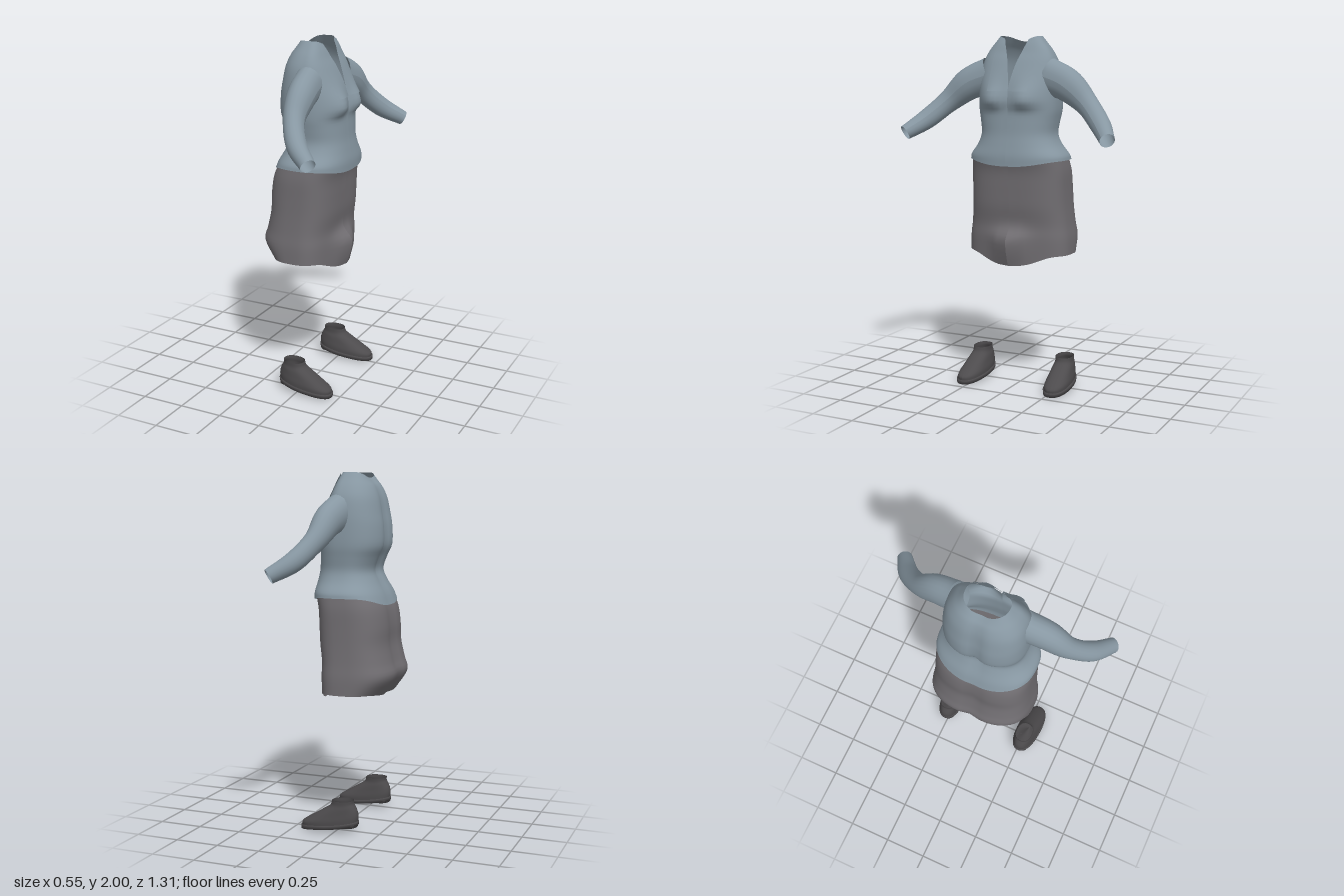
import * as THREE from 'three';

const mat = (name, color) => {
  const m = new THREE.MeshStandardMaterial({ color, side: THREE.DoubleSide });
  m.name = name;
  return m;
};

// Lofts stacked rings, each [yFront, ySide, yBack, xFront, xBack, halfWidth, xCentre, frontGap].
// p squares off the outline, k shapes the hem, bump adds to x, from/to limit the sweep.
function loft(rings, { n = 64, sub = 4, p = 0.8, k = 4, bump = () => 0, from = 0, to = 1 } = {}) {
  const smooth = new THREE.CubicInterpolant(rings.map((_, i) => i), rings.flat(), 8);
  const rows = (rings.length - 1) * sub;
  const pos = [], index = [];
  for (let i = 0; i <= rows; i++) {
    const [yf, ys, yb, xf, xb, w, cx, gap] = Array.from(smooth.evaluate(i / sub));
    const g = Math.asin(Math.min(1, Math.pow(Math.max(0, gap) / w, 1 / p)));
    for (let j = 0; j <= n; j++) {
      const t = from + (to - from) * j / n;
      const a = g + (2 * Math.PI - 2 * g) * t;
      const c = Math.cos(a), s = Math.sin(a), ac = Math.abs(c);
      const y = ys + ((c > 0 ? yf : yb) - ys) * Math.pow(ac, k);
      const z = w * Math.sign(s) * Math.pow(Math.abs(s), p);
      const x = cx + ((c > 0 ? xf : xb) - cx) * Math.pow(ac, p);
      pos.push(x + bump(y, z, c) * Math.min(1, ac * 2), y, z);
      if (i < rows && j < n) {
        const q = i * (n + 1) + j, u = q + n + 1;
        index.push(q, u, q + 1, u, u + 1, q + 1);
      }
    }
  }
  const geo = new THREE.BufferGeometry();
  geo.setAttribute('position', new THREE.Float32BufferAttribute(pos, 3));
  geo.setIndex(index);
  geo.computeVertexNormals();
  return geo;
}

const bell = (v, s) => Math.exp(-(v * v) / (s * s));

// Bust at the front, spine hollow at the back
const torsoBump = (y, z, c) => c > 0
  ? 0.045 * bell(y - 1.64, y > 1.64 ? 0.1 : 0.035) * bell(Math.abs(z) - 0.1, 0.08)
  : 0.022 * bell(z, 0.04) * bell(y - 1.65, 0.3);

// Pointed centre fold at the front, shallow hollow at the back
const skirtBump = (y, z, c) => c > 0
  ? 0.065 * bell(y - 0.86, y > 0.86 ? 0.06 : 0.18) * bell(z, 0.1)
  : 0.015 * bell(z, 0.05);

const blouseRings = [
  [1.285, 1.315, 1.265, 0.195, -0.222, 0.288, 0, 0],
  [1.34, 1.345, 1.33, 0.195, -0.2, 0.28, 0, 0],
  [1.40, 1.40, 1.40, 0.185, -0.165, 0.24, 0, 0],
  [1.46, 1.46, 1.46, 0.175, -0.145, 0.218, 0, 0],
  [1.53, 1.53, 1.53, 0.17, -0.168, 0.225, 0, 0],
  [1.60, 1.60, 1.60, 0.165, -0.2, 0.235, 0, 0],
  [1.70, 1.70, 1.70, 0.155, -0.2, 0.235, 0, 0],
  [1.78, 1.78, 1.78, 0.135, -0.187, 0.23, 0, 0.012],
  [1.86, 1.86, 1.86, 0.105, -0.17, 0.215, 0, 0.03],
  [1.91, 1.92, 1.92, 0.08, -0.145, 0.185, 0, 0.048],
  [1.945, 1.965, 1.95, 0.065, -0.12, 0.15, -0.005, 0.062],
  [1.97, 2.0, 1.97, 0.05, -0.1, 0.122, -0.01, 0.075],
];

const skirtRings = [
  [0.72, 0.78, 0.76, 0.13, -0.21, 0.308, -0.03, 0],
  [0.87, 0.87, 0.87, 0.135, -0.28, 0.305, -0.03, 0],
  [0.95, 0.95, 0.95, 0.135, -0.262, 0.295, -0.03, 0],
  [1.05, 1.05, 1.05, 0.15, -0.24, 0.287, -0.03, 0],
  [1.15, 1.15, 1.15, 0.155, -0.238, 0.283, -0.02, 0],
  [1.25, 1.25, 1.25, 0.16, -0.222, 0.28, -0.01, 0],
  [1.33, 1.33, 1.33, 0.18, -0.185, 0.268, 0, 0],
];

const shoeRings = [
  [0.02, 0.035, 0.055, 0.203, -0.122, 0.068, 0.05, 0],
  [0.045, 0.062, 0.09, 0.2, -0.127, 0.068, 0.045, 0],
  [0.078, 0.095, 0.12, 0.15, -0.122, 0.062, 0.015, 0],
  [0.12, 0.13, 0.145, 0.08, -0.11, 0.056, -0.02, 0],
  [0.15, 0.155, 0.165, 0.035, -0.1, 0.05, -0.035, 0],
  [0.178, 0.18, 0.182, 0.025, -0.1, 0.05, -0.037, 0],
];

const soleRings = [
  [0.015, 0.018, 0.045, 0.052, 0.048, 0.001, 0.05, 0],
  [0.0, 0.018, 0.045, 0.209, -0.128, 0.074, 0.05, 0],
  [0.022, 0.037, 0.065, 0.21, -0.13, 0.075, 0.05, 0],
  [0.024, 0.04, 0.066, 0.195, -0.118, 0.065, 0.05, 0],
];

const heelRings = [
  [0.028, 0.03, 0.033, -0.065, -0.067, 0.001, -0.066, 0],
  [0.028, 0.03, 0.033, -0.01, -0.122, 0.052, -0.066, 0],
  [0.035, 0.045, 0.055, -0.008, -0.124, 0.054, -0.066, 0],
];

// Tapered sleeve swept along the arm, open at the wrist
function sleeveGeometry(s) {
  const curve = new THREE.CatmullRomCurve3([
    [0.02, 1.78, 0.18], [0.035, 1.735, 0.3], [0.055, 1.64, 0.42], [0.13, 1.53, 0.535], [0.237, 1.455, 0.618],
  ].map(([x, y, z]) => new THREE.Vector3(x, y, z * s)));
  const steps = 28, sides = 20;
  const radius = new THREE.CubicInterpolant([0, 0.25, 0.5, 0.75, 1], [0.105, 0.09, 0.064, 0.057, 0.042], 1);
  const geo = new THREE.TubeGeometry(curve, steps, 1, sides);
  const pos = geo.attributes.position, v = new THREE.Vector3();
  for (let i = 0; i <= steps; i++) {
    const t = i / steps, c = curve.getPointAt(t), r = radius.evaluate(t)[0];
    for (let j = 0; j <= sides; j++) {
      const q = i * (sides + 1) + j;
      v.fromBufferAttribute(pos, q).sub(c).multiplyScalar(r);
      v.x *= 0.75 + 0.25 * t;
      v.add(c);
      pos.setXYZ(q, v.x, v.y, v.z);
    }
  }
  geo.computeVertexNormals();
  return geo;
}

export function createModel() {
  const model = new THREE.Group();
  model.name = 'outfit';
  const blue = mat('greyBlueFabric', 0x8797a2);
  const grey = mat('greySkirtFabric', 0x716e72);
  const dark = mat('darkLeather', 0x4d4b4d);
  const add = (parent, name, geo, material) => {
    const mesh = new THREE.Mesh(geo, material);
    mesh.name = name;
    parent.add(mesh);
    return mesh;
  };

  add(model, 'blouse', loft(blouseRings, { bump: torsoBump }), blue);
  add(model, 'skirt', loft(skirtRings, { p: 0.68, k: 8, bump: skirtBump }), grey);

  // Lapels lie just proud of the neckline
  const lapelRings = blouseRings.slice(6).map(([yf, ys, yb, xf, xb, w, cx, gap]) =>
    [yf, ys, yb, xf + 0.007, xb - 0.007, w + 0.007, cx, gap]);

  for (const s of [1, -1]) {
    const side = s > 0 ? 'left' : 'right';
    add(model, side + 'Sleeve', sleeveGeometry(s), blue);
    const span = s > 0 ? { from: 0, to: 0.07 } : { from: 0.93, to: 1 };
    add(model, side + 'Lapel', loft(lapelRings, { n: 8, bump: torsoBump, ...span }), blue);

    const shoe = new THREE.Group();
    shoe.name = side + 'Shoe';
    shoe.position.z = 0.268 * s;
    shoe.rotation.y = -0.06 * s;
    add(shoe, 'upper', loft(shoeRings, { n: 40, p: 0.85, k: 1 }), dark);
    add(shoe, 'sole', loft(soleRings, { n: 40, sub: 1, p: 0.85, k: 1 }), dark);
    add(shoe, 'heel', loft(heelRings, { n: 28, sub: 1, k: 1 }), dark);
    model.add(shoe);
  }
  return model;
}
